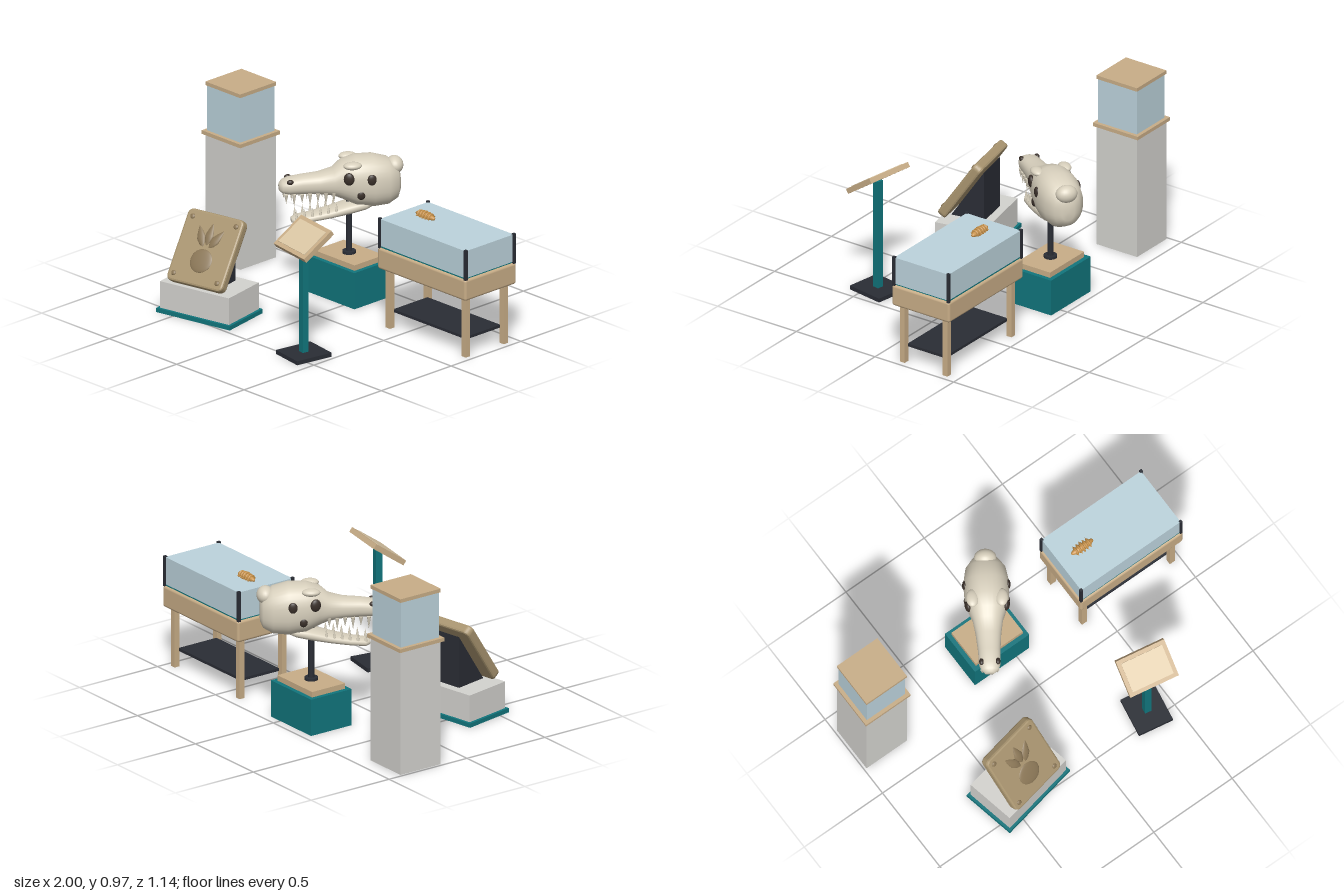
import * as THREE from 'three';
import { RoundedBoxGeometry } from 'three/addons/geometries/RoundedBoxGeometry.js';

const mat = (color) => new THREE.MeshStandardMaterial({ color });
const M = {
  wood: mat(0xc8ad87), pale: mat(0xdcc8a6), glass: mat(0xbcd3dc), teal: mat(0x11757c), dark: mat(0x2a2d35),
  stone: mat(0xd3d2ce), bone: mat(0xd8d0bd), hole: mat(0x3a302a), slab: mat(0xa8946f), print: mat(0x8a7656), amber: mat(0xc8924a),
};

function add(parent, name, geo, material, x = 0, y = 0, z = 0) {
  const m = new THREE.Mesh(geo, material);
  m.name = name;
  m.position.set(x, y, z);
  parent.add(m);
  return m;
}

// box given by its bottom height and its top height
const block = (parent, name, material, w, d, y0, y1, x = 0, z = 0) =>
  add(parent, name, new THREE.BoxGeometry(w, y1 - y0, d), material, x, (y0 + y1) / 2, z);

function blob(parent, name, material, x, y, z, sx, sy, sz) {
  const m = add(parent, name, new THREE.SphereGeometry(1, 24, 16), material, x, y, z);
  m.scale.set(sx, sy, sz);
  return m;
}

function group(parent, name, x, z, turn = 0) {
  const g = new THREE.Group();
  g.name = name;
  g.position.set(x, 0, z);
  g.rotation.y = turn;
  parent.add(g);
  return g;
}

// smooth loft along z through superellipse sections [z, halfWidth, top, bottom]
function loft(sections, n = 32, power = 0.85) {
  const rings = [[...sections[0]], ...sections, [...sections.at(-1)]];
  for (const r of [rings[0], rings.at(-1)]) {
    const mid = (r[2] + r[3]) / 2;
    r[1] = 0.0005; r[2] = mid + 0.0005; r[3] = mid - 0.0005;
  }
  const pos = [], idx = [];
  const p = (v) => Math.sign(v) * Math.abs(v) ** power;
  rings.forEach(([z, w, top, bot], i) => {
    for (let j = 0; j < n; j++) {
      const a = (j / n) * Math.PI * 2;
      pos.push(w * p(Math.cos(a)), (top + bot) / 2 + ((top - bot) / 2) * p(Math.sin(a)), z);
      if (i === rings.length - 1) continue;
      const k = i * n + j, l = i * n + ((j + 1) % n);
      idx.push(k, l, k + n, l, l + n, k + n);
    }
  });
  const g = new THREE.BufferGeometry();
  g.setAttribute('position', new THREE.Float32BufferAttribute(pos, 3));
  g.setIndex(idx);
  g.computeVertexNormals();
  return g;
}

// tall plinth with a glazed top
function pillarCase(root) {
  const g = group(root, 'pillarCase', -0.857, -0.287);
  block(g, 'pillar', M.stone, 0.258, 0.258, 0, 0.68);
  block(g, 'pillarTrim', M.wood, 0.285, 0.285, 0.68, 0.7);
  block(g, 'pillarGlass', M.glass, 0.245, 0.245, 0.7, 0.95);
  block(g, 'pillarCap', M.wood, 0.258, 0.258, 0.95, 0.97);
}

// glazed table with a small fossil
function tableCase(root) {
  const g = group(root, 'tableCase', 0.671, -0.287);
  add(g, 'tableBody', new RoundedBoxGeometry(0.655, 0.118, 0.367, 2, 0.014), M.wood, 0, 0.385, 0);
  block(g, 'tableLiner', M.teal, 0.63, 0.345, 0.44, 0.451);
  block(g, 'tableGlass', M.glass, 0.635, 0.345, 0.45, 0.6);
  block(g, 'shelf', M.dark, 0.54, 0.245, 0.085, 0.1);
  for (const sx of [-1, 1]) for (const sz of [-1, 1]) {
    block(g, 'tableLeg', M.wood, 0.033, 0.03, 0, 0.34, sx * 0.281, sz * 0.136);
    block(g, 'cornerPost', M.dark, 0.015, 0.016, 0.44, 0.606, sx * 0.318, sz * 0.172);
  }
  const f = group(g, 'fossil', -0.174, -0.015);
  f.position.y = 0.607;
  blob(f, 'fossilBody', M.amber, 0, 0, 0, 0.07, 0.02, 0.02);
  for (let i = -2; i <= 2; i++) {
    const r = 0.022 - Math.abs(i) * 0.002;
    const ring = add(f, 'fossilRib', new THREE.TorusGeometry(r, 0.006, 8, 20), M.amber, i * 0.02, 0, 0);
    ring.rotation.y = Math.PI / 2;
    for (const s of [-1, 1]) {
      const leg = add(f, 'fossilSpine', new THREE.ConeGeometry(0.005, 0.016, 8), M.amber, i * 0.02, 0, s * (r + 0.007));
      leg.rotation.x = s * Math.PI / 2;
    }
  }
}

// skull on its post and box
function skullStand(root) {
  const g = group(root, 'skullStand', -0.093, -0.325);
  block(g, 'standBox', M.teal, 0.347, 0.26, 0, 0.2);
  block(g, 'standTop', M.wood, 0.3, 0.212, 0.2, 0.23);
  add(g, 'postCollar', new THREE.CylinderGeometry(0.035, 0.035, 0.014, 24), M.dark, 0, 0.237, 0);
  add(g, 'post', new THREE.CylinderGeometry(0.016, 0.016, 0.3, 20), M.dark, 0, 0.38, 0);

  const s = group(g, 'skull', 0, 0, -0.59);
  add(s, 'cranium', loft([
    [-0.265, 0.035, 0.66, 0.56], [-0.25, 0.07, 0.705, 0.525], [-0.2, 0.105, 0.745, 0.497], [-0.12, 0.119, 0.766, 0.49],
    [-0.03, 0.115, 0.766, 0.505], [0.04, 0.096, 0.745, 0.54], [0.085, 0.078, 0.705, 0.56], [0.16, 0.066, 0.685, 0.572],
    [0.25, 0.058, 0.678, 0.577], [0.32, 0.056, 0.668, 0.58], [0.352, 0.045, 0.655, 0.588], [0.367, 0.022, 0.64, 0.6],
  ]), M.bone);
  add(s, 'lowerJaw', loft([
    [-0.12, 0.045, 0.53, 0.49], [-0.08, 0.07, 0.535, 0.475], [0, 0.068, 0.52, 0.455], [0.1, 0.06, 0.49, 0.437],
    [0.2, 0.051, 0.468, 0.422], [0.28, 0.043, 0.456, 0.415], [0.303, 0.022, 0.447, 0.422],
  ]), M.bone);
  blob(s, 'backBump', M.bone, 0, 0.702, -0.237, 0.058, 0.047, 0.046);
  for (const k of [-1, 1]) {
    blob(s, 'browRidge', M.bone, k * 0.076, 0.738, -0.005, 0.033, 0.02, 0.048);
    blob(s, 'eyeSocket', M.hole, k * 0.1, 0.675, 0.018, 0.016, 0.034, 0.028).rotation.y = k * -0.3;
    blob(s, 'templeHole', M.hole, k * 0.113, 0.667, -0.1, 0.012, 0.03, 0.024);
    blob(s, 'cheekHole', M.hole, k * 0.105, 0.585, -0.045, 0.014, 0.026, 0.022);
    blob(s, 'nostril', M.hole, k * 0.042, 0.655, 0.315, 0.013, 0.014, 0.018);
    for (let i = 0; i < 7; i++) {
      const z = 0.09 + i * 0.041, len = i % 2 ? 0.068 : 0.05;
      const up = add(s, 'upperTooth', new THREE.ConeGeometry(0.011, len, 10), M.bone, k * (0.06 - i * 0.0035), 0.588 - len / 2, z);
      up.rotation.x = Math.PI;
      if (i < 6) add(s, 'lowerTooth', new THREE.ConeGeometry(0.009, 0.052, 10), M.bone, k * (0.05 - i * 0.004), 0.505 - i * 0.007, z - 0.015);
    }
  }
}

// tilted slab with a footprint
function printDisplay(root) {
  const g = group(root, 'printDisplay', -0.406, 0.373, 0.2);
  block(g, 'printBase', M.teal, 0.46, 0.3, 0, 0.023);
  block(g, 'printPlinth', M.stone, 0.43, 0.272, 0.023, 0.17);

  // wedge that props the slab from behind
  const tri = new THREE.Shape([[-0.1, 0.165], [0.09, 0.165], [0.09, 0.45]].map((p) => new THREE.Vector2(...p)));
  const wedge = add(g, 'slabSupport', new THREE.ExtrudeGeometry(tri, { depth: 0.2, bevelEnabled: false }), M.dark, -0.1, 0, 0);
  wedge.rotation.y = Math.PI / 2;

  const s = group(g, 'slab', 0, 0.02);
  s.position.y = 0.347;
  s.rotation.x = -0.594;
  const w = 0.163, h = 0.186, r = 0.02, c = new THREE.Shape();
  c.absarc(w - r, h - r, r, 0, Math.PI / 2);
  c.absarc(r - w, h - r, r, Math.PI / 2, Math.PI);
  c.absarc(r - w, r - h, r, Math.PI, Math.PI * 1.5);
  c.absarc(w - r, r - h, r, Math.PI * 1.5, Math.PI * 2);
  const opts = { depth: 0.03, bevelThickness: 0.011, bevelSize: 0.011, bevelSegments: 2, curveSegments: 6 };
  add(s, 'slabPlate', new THREE.ExtrudeGeometry(c, opts), M.slab, 0, 0, -0.015);
  blob(s, 'heelPrint', M.print, 0, -0.062, 0.025, 0.066, 0.064, 0.01);
  const leaf = [[0, -0.06], [0.018, -0.035], [0.026, -0.005], [0.016, 0.03], [0, 0.068]].map((p) => new THREE.Vector2(...p));
  for (const k of [-1, 0, 1]) {
    const toe = add(s, 'toePrint', new THREE.LatheGeometry(leaf, 16), M.print, k * 0.046, k ? 0.062 : 0.08, 0.025);
    toe.rotation.z = -k * 0.5;
    toe.scale.z = 0.4;
  }
  for (const x of [-0.135, 0.135]) for (const y of [-0.155, 0.155]) blob(s, 'slabStud', M.print, x, y, 0.026, 0.014, 0.014, 0.007);
}

// sloping reading panel on a post
function lectern(root) {
  const g = group(root, 'lectern', 0.364, 0.441, -0.17);
  block(g, 'lecternBase', M.dark, 0.195, 0.215, 0, 0.022);
  block(g, 'lecternPost', M.teal, 0.036, 0.036, 0.022, 0.632);
  const p = group(g, 'panel', 0, 0);
  p.position.y = 0.645;
  p.rotation.x = -0.96;
  add(p, 'panelBoard', new THREE.BoxGeometry(0.278, 0.21, 0.028), M.wood);
  add(p, 'panelFace', new THREE.BoxGeometry(0.235, 0.165, 0.004), M.pale, 0, 0, 0.015);
}

export function createModel() {
  const root = new THREE.Group();
  root.name = 'museumExhibits';
  pillarCase(root);
  tableCase(root);
  skullStand(root);
  printDisplay(root);
  lectern(root);
  return root;
}
